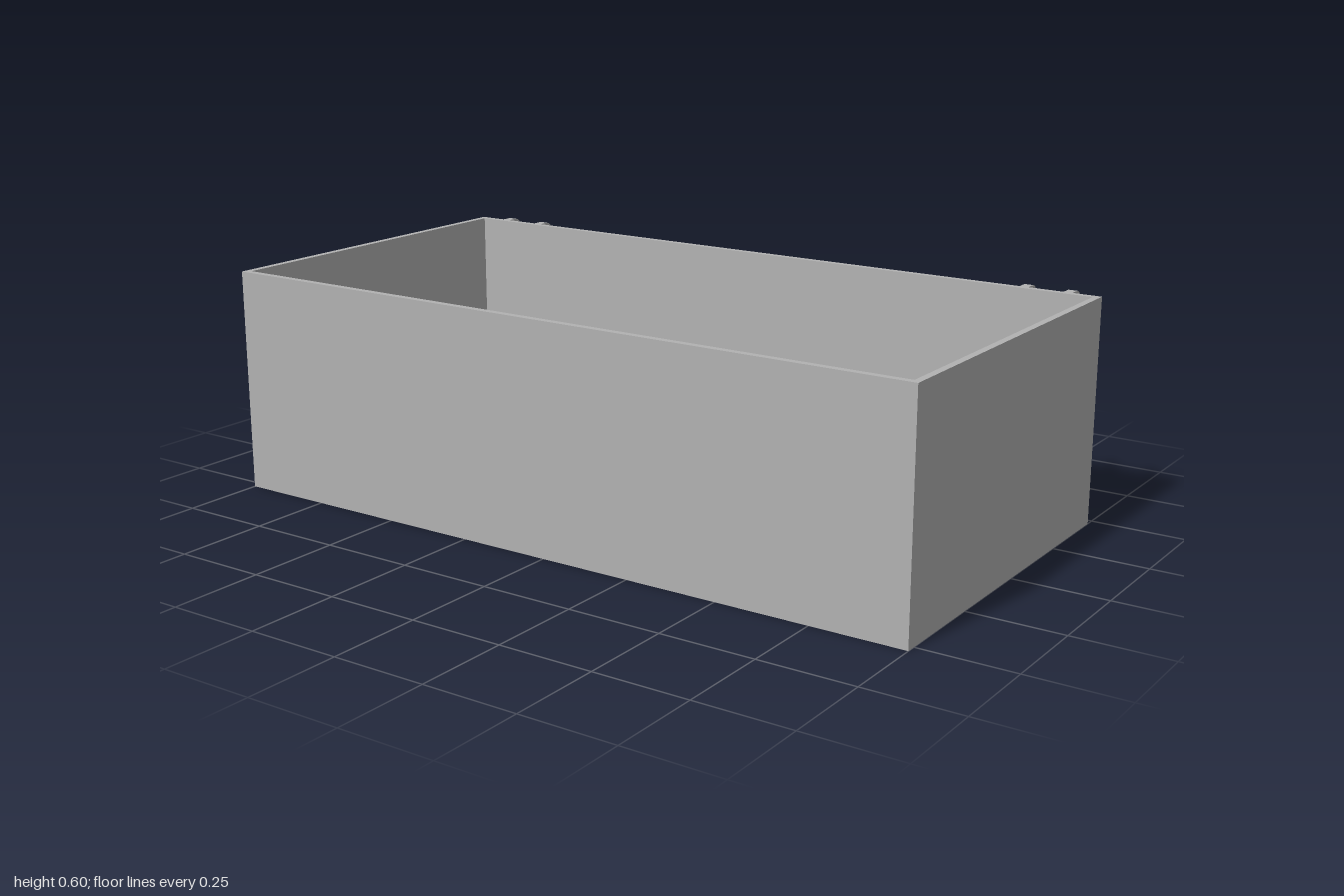
import * as THREE from 'three';

const grey = new THREE.MeshStandardMaterial({ color: 0xb2b2b2 });
grey.name = 'plain grey';

const HEIGHT = 0.6, WALL = 0.018, FLOOR = 0.02;
const FRONT = 0.526, BACK = -0.474;

// Open tray as one closed skin: outside walls, rim, inside walls, floor
function trayGeometry() {
  const ring = (inset, y) => [
    [-1 + inset, y, FRONT - inset], [1 - inset, y, FRONT - inset],
    [1 - inset, y, BACK + inset], [-1 + inset, y, BACK + inset],
  ];
  const rings = [ring(0, 0), ring(0, HEIGHT), ring(WALL, HEIGHT), ring(WALL, FLOOR)];
  const positions = [];
  const quad = (a, b, c, d) => positions.push(...a, ...b, ...c, ...a, ...c, ...d);
  for (let r = 0; r < 3; r++) {
    for (let i = 0; i < 4; i++) {
      const j = (i + 1) % 4;
      quad(rings[r][i], rings[r][j], rings[r + 1][j], rings[r + 1][i]);
    }
  }
  quad(...rings[3]);
  quad(...[...rings[0]].reverse());
  const geometry = new THREE.BufferGeometry();
  geometry.setAttribute('position', new THREE.Float32BufferAttribute(positions, 3));
  geometry.computeVertexNormals();
  return geometry;
}

// Hinge lug: rounded tip with a concave fillet running into the back wall
function lugGeometry(width) {
  const root = -BACK;
  const shape = new THREE.Shape();
  shape.moveTo(root, HEIGHT);
  shape.lineTo(0.502, HEIGHT);
  shape.absarc(0.502, 0.576, 0.024, Math.PI / 2, -Math.PI / 2, true);
  shape.absarc(0.5, 0.526, 0.026, Math.PI / 2, Math.PI, false);
  shape.closePath();
  const geometry = new THREE.ExtrudeGeometry(shape, { depth: width, bevelEnabled: false, curveSegments: 16 });
  geometry.translate(0, 0, -width / 2);
  geometry.rotateY(Math.PI / 2);
  return geometry;
}

// Shallow domed bump, its base on x = 0 and bulging toward +x
function bumpGeometry(radius, height) {
  const geometry = new THREE.SphereGeometry(radius, 20, 6, 0, Math.PI * 2, 0, Math.PI / 2);
  geometry.scale(1, height / radius, 1);
  geometry.rotateZ(-Math.PI / 2);
  return geometry;
}

export function createModel() {
  const model = new THREE.Group();
  model.name = 'hingedBoxBase';

  const tray = new THREE.Mesh(trayGeometry(), grey);
  tray.name = 'tray';
  model.add(tray);

  // Two hinges, each a pair of lugs with snap bumps facing each other
  const lugWidth = 0.024;
  const lug = lugGeometry(lugWidth);
  const bump = bumpGeometry(0.015, 0.008);
  for (const [name, centre] of [['leftHinge', 0.85], ['rightHinge', -0.85]]) {
    const hinge = new THREE.Group();
    hinge.name = name;
    hinge.position.x = centre;
    for (const side of [-1, 1]) {
      const lugMesh = new THREE.Mesh(lug, grey);
      lugMesh.name = 'hingeLug';
      lugMesh.position.x = side * 0.06;
      const bumpMesh = new THREE.Mesh(bump, grey);
      bumpMesh.name = 'snapBump';
      bumpMesh.position.set(side * (0.06 - lugWidth / 2), 0.576, -0.501);
      bumpMesh.rotation.y = side > 0 ? Math.PI : 0;
      hinge.add(lugMesh, bumpMesh);
    }
    model.add(hinge);
  }
  return model;
}
